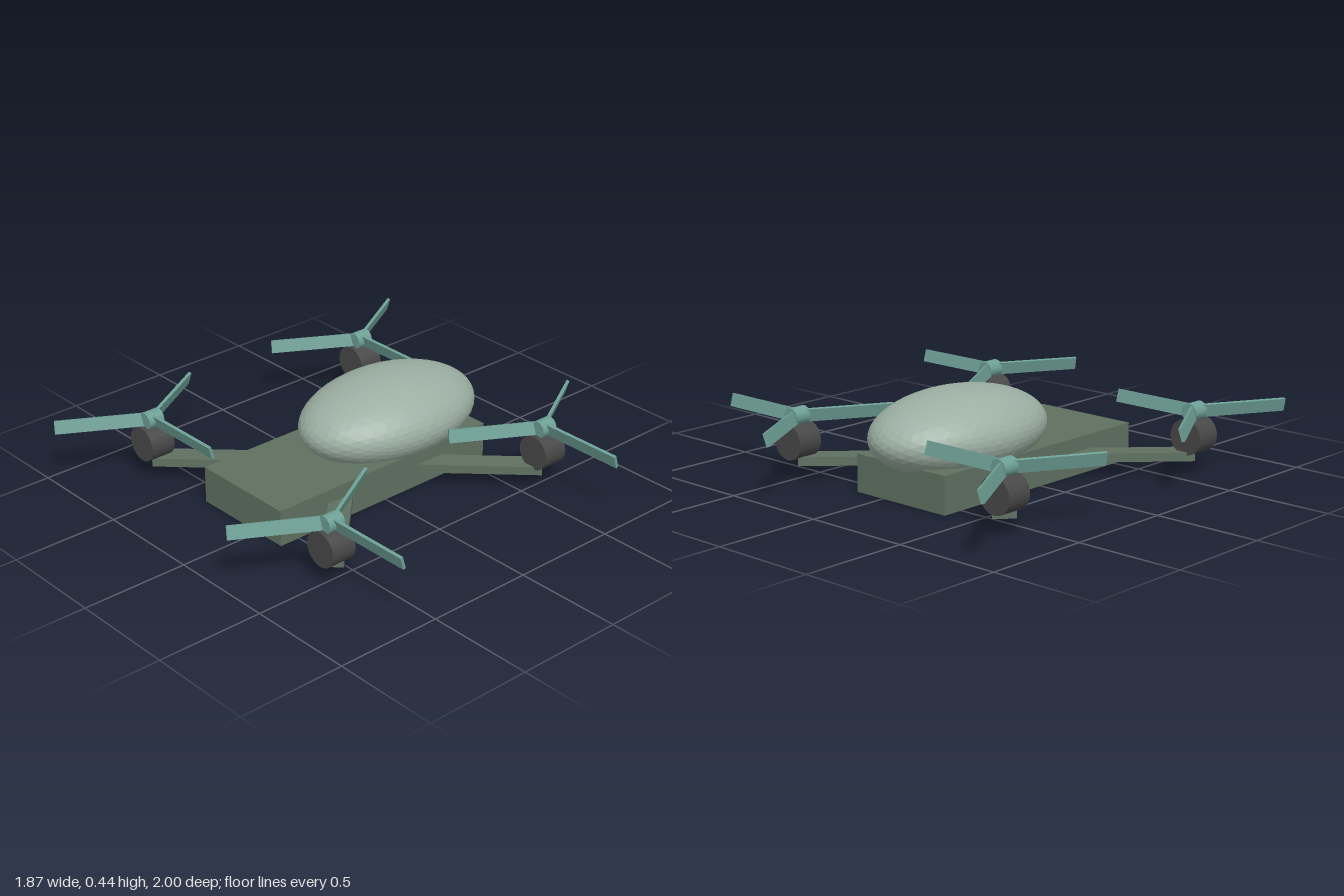
import * as THREE from 'three';

const CENTER_X = -0.103;
const MOTOR_X = 0.608; // motor offsets from the body centre
const MOTOR_Z = 0.62;

const paint = (color) => new THREE.MeshStandardMaterial({ color, flatShading: true });

function part(name, geometry, material, x = 0, y = 0, z = 0) {
  const mesh = new THREE.Mesh(geometry, material);
  mesh.name = name;
  mesh.position.set(x, y, z);
  return mesh;
}

export function createModel() {
  const bodyPaint = paint(0x5f7161);
  const canopyPaint = paint(0x9cafa3);
  const motorPaint = paint(0x484848);
  const rotorPaint = paint(0x6d9f95);

  const drone = new THREE.Group();
  drone.name = 'drone';

  // Box fuselage with an egg-shaped canopy towards the back
  drone.add(part('body', new THREE.BoxGeometry(0.515, 0.17, 1.2), bodyPaint, CENTER_X, 0.085, 0));
  const canopy = new THREE.IcosahedronGeometry(1, 7).scale(0.306, 0.184, 0.46);
  drone.add(part('canopy', canopy, canopyPaint, CENTER_X, 0.257, -0.243));

  // Shared pieces: arm runs along +x from the body centre, blade from the hub
  const armLength = Math.hypot(MOTOR_X, MOTOR_Z);
  const armGeometry = new THREE.BoxGeometry(armLength, 0.04, 0.1).translate(armLength / 2, 0, 0);
  const motorGeometry = new THREE.CylinderGeometry(0.081, 0.081, 0.122, 32).rotateX(Math.PI / 2);
  const hubGeometry = new THREE.CylinderGeometry(0.04, 0.04, 0.08, 24).rotateX(Math.PI / 2);
  const bladeGeometry = new THREE.BoxGeometry(0.43, 0.06, 0.014)
    .rotateX(0.28) // blade pitch
    .translate(0.215, 0, 0);

  for (const sx of [-1, 1]) {
    for (const sz of [-1, 1]) {
      const x = CENTER_X + sx * MOTOR_X;
      const z = sz * MOTOR_Z;

      const arm = part('arm', armGeometry, bodyPaint, CENTER_X, 0.085, 0);
      arm.rotation.y = -Math.atan2(z, sx * MOTOR_X);
      drone.add(arm);
      drone.add(part('motor', motorGeometry, motorPaint, x, 0.172, z));

      // Three-bladed rotor
      const rotor = new THREE.Group();
      rotor.name = 'rotor';
      rotor.position.set(x, 0.28, z);
      rotor.add(part('hub', hubGeometry, rotorPaint));
      for (let i = 0; i < 3; i++) {
        const blade = part('blade', bladeGeometry, rotorPaint);
        blade.rotation.y = (i * Math.PI * 2) / 3;
        rotor.add(blade);
      }
      drone.add(rotor);
    }
  }
  return drone;
}
